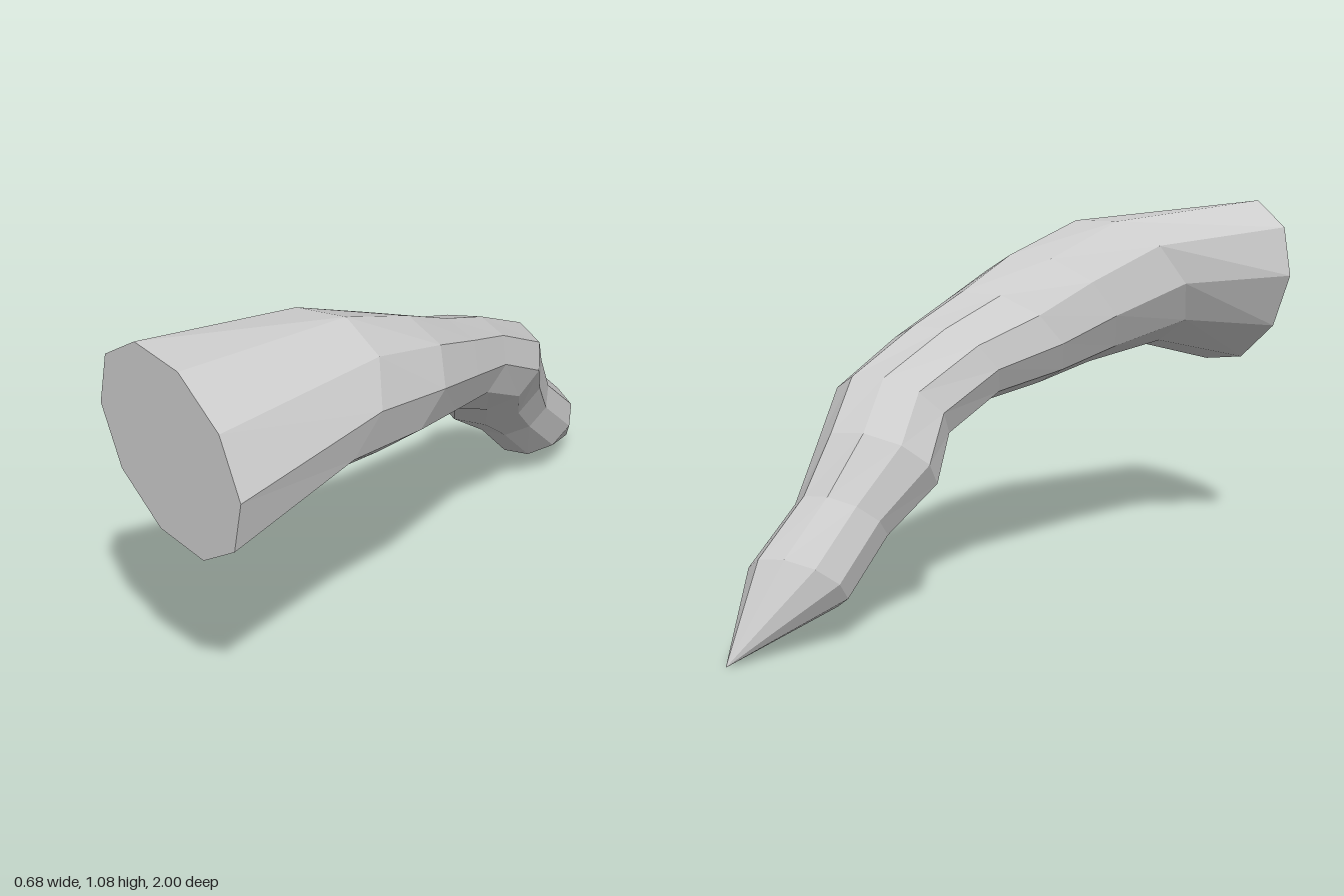
import * as THREE from 'three';

const SIDES = 10;
const PHASE = THREE.MathUtils.degToRad(9);
const TIP = [-0.3, 0, -1];

// Cross-sections from the flat base to the tip, each a tilted, skewed ellipse:
// left x,z | right x,z | bottom y,z | top y,z | skew
const SECTIONS = [
  [[-0.21, 0.993], [0.34, 0.993], [0.543, 1.0], [1.08, 0.985], -0.33],
  [[-0.11, 0.65], [0.32, 0.5], [0.635, 0.68], [1.045, 0.46], -0.2],
  [[-0.105, 0.4], [0.28, 0.22], [0.605, 0.4], [0.955, 0.2], -0.12],
  [[-0.11, 0.2], [0.2, 0.0], [0.57, 0.19], [0.865, 0.0], -0.1],
  [[-0.14, -0.05], [0.13, -0.2], [0.545, -0.04], [0.79, -0.2], -0.12],
  [[-0.2, -0.27], [0.075, -0.4], [0.455, -0.25], [0.68, -0.44], -0.2],
  [[-0.3, -0.39], [-0.02, -0.52], [0.335, -0.35], [0.555, -0.55], -0.28],
  [[-0.305, -0.55], [-0.085, -0.63], [0.23, -0.5], [0.4, -0.67], -0.28],
  [[-0.347, -0.7], [-0.13, -0.8], [0.085, -0.66], [0.26, -0.83], -0.28],
];

// Points of one cross-section, lying in a plane tilted by the measured z values
function ring([left, right, bottom, top, skew]) {
  const cx = (left[0] + right[0]) / 2, w = (right[0] - left[0]) / 2;
  const cy = (bottom[0] + top[0]) / 2, h = (top[0] - bottom[0]) / 2;
  const cz = (left[1] + right[1] + bottom[1] + top[1]) / 4;
  const dx = (right[1] - left[1]) / 2, dy = (top[1] - bottom[1]) / 2;
  const p = (dx - skew * dy) / (1 - skew * skew);
  const q = (dy - skew * dx) / (1 - skew * skew);
  const points = [];
  for (let k = 0; k < SIDES; k++) {
    const t = PHASE + (k / SIDES) * Math.PI * 2;
    const c = Math.cos(t), s = Math.sin(t + Math.asin(skew));
    points.push([cx + w * c, cy + h * s, cz + p * c + q * s]);
  }
  return points;
}

function facetedMesh(name, triangles, material) {
  const geometry = new THREE.BufferGeometry();
  geometry.setAttribute('position', new THREE.Float32BufferAttribute(triangles.flat(2), 3));
  geometry.computeVertexNormals();
  const mesh = new THREE.Mesh(geometry, material);
  mesh.name = name;
  return mesh;
}

export function createModel() {
  const group = new THREE.Group();
  group.name = 'curvedHorn';
  const material = new THREE.MeshStandardMaterial({ color: 0xcccccc, flatShading: true });
  const rings = SECTIONS.map(ring);
  const last = rings[rings.length - 1];
  const shaft = [], point = [], cap = [];

  for (let k = 0; k < SIDES; k++) {
    const n = (k + 1) % SIDES;
    // Curved shaft
    for (let i = 0; i < rings.length - 1; i++) {
      const a = rings[i], b = rings[i + 1];
      shaft.push([a[k], b[k], a[n]], [a[n], b[k], b[n]]);
    }
    // Pointed end
    point.push([last[k], TIP, last[n]]);
    // Flat base
    if (k > 0 && k < SIDES - 1) cap.push([rings[0][0], rings[0][k], rings[0][n]]);
  }

  group.add(
    facetedMesh('shaft', shaft, material),
    facetedMesh('tip', point, material),
    facetedMesh('baseCap', cap, material),
  );
  return group;
}
